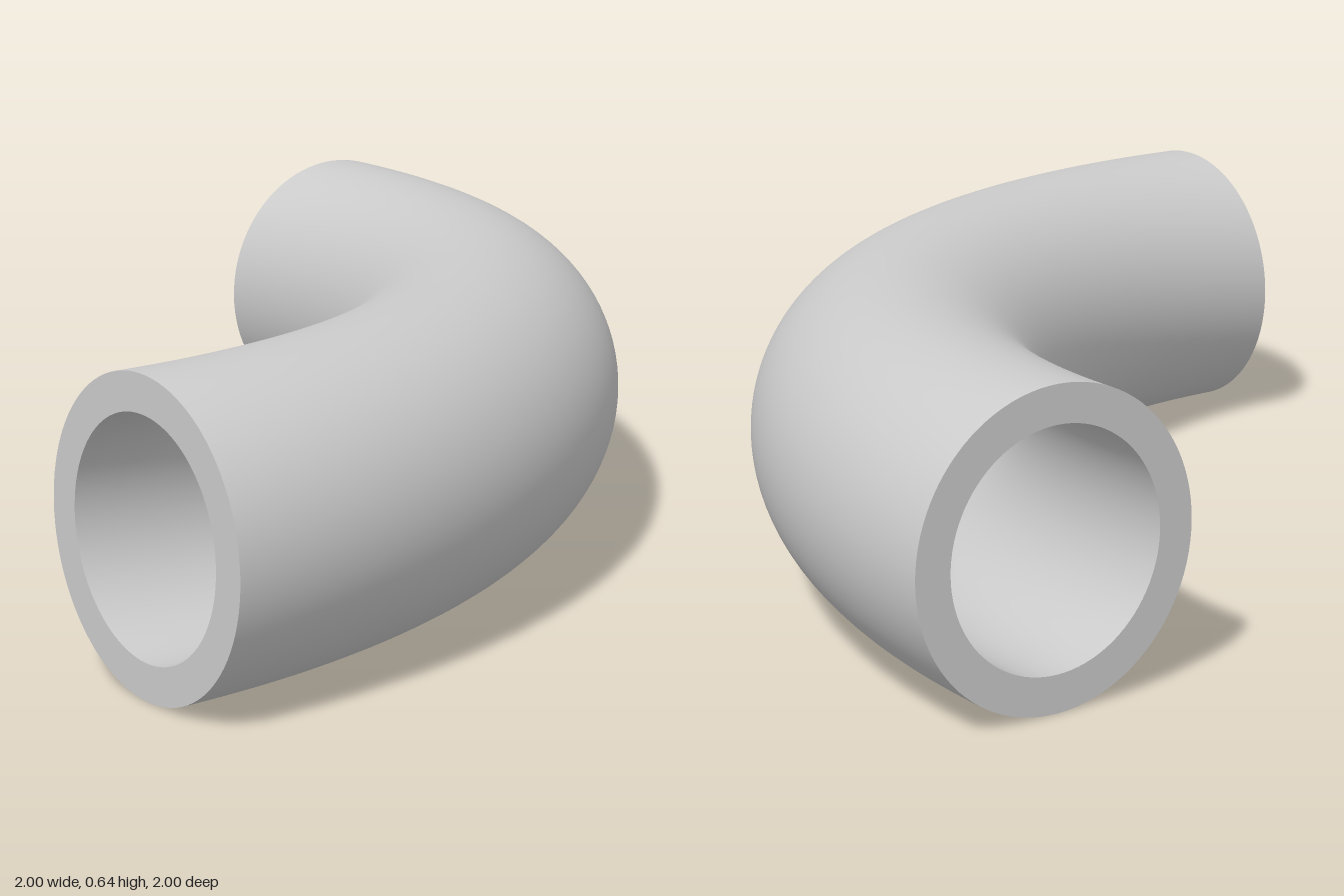
import * as THREE from 'three';

const BEND = 1.682;   // centreline radius of the bend
const OUTER = 0.318;  // outside radius of the pipe
const BORE = 0.241;   // inside radius of the pipe
const SIDES = 96;

export function createModel() {
  const group = new THREE.Group();
  group.name = 'pipeElbow';
  const material = new THREE.MeshStandardMaterial({ color: 0xcccccc });

  const add = (name, geometry) => {
    const mesh = new THREE.Mesh(geometry, material);
    mesh.name = name;
    group.add(mesh);
    return mesh;
  };

  // Quarter torus laid flat, its bend centre at the front right corner
  const quarterBend = (radius) =>
    new THREE.TorusGeometry(BEND, radius, SIDES, 96, Math.PI / 2)
      .rotateX(-Math.PI / 2)
      .translate(-1, OUTER, 1);

  add('outerWall', quarterBend(OUTER));

  // Bore: same sweep, turned inside out
  const bore = quarterBend(BORE);
  const index = bore.index.array;
  for (let i = 0; i < index.length; i += 3) {
    [index[i], index[i + 1]] = [index[i + 1], index[i]];
  }
  const normals = bore.attributes.normal.array;
  for (let i = 0; i < normals.length; i++) normals[i] *= -1;
  add('bore', bore);

  // Flat rims closing the wall at both open ends
  const rim = new THREE.RingGeometry(BORE, OUTER, SIDES);
  add('frontRim', rim).position.set(BEND - 1, OUTER, 1);
  const sideRim = add('sideRim', rim);
  sideRim.position.set(-1, OUTER, 1 - BEND);
  sideRim.rotation.y = -Math.PI / 2;

  return group;
}
